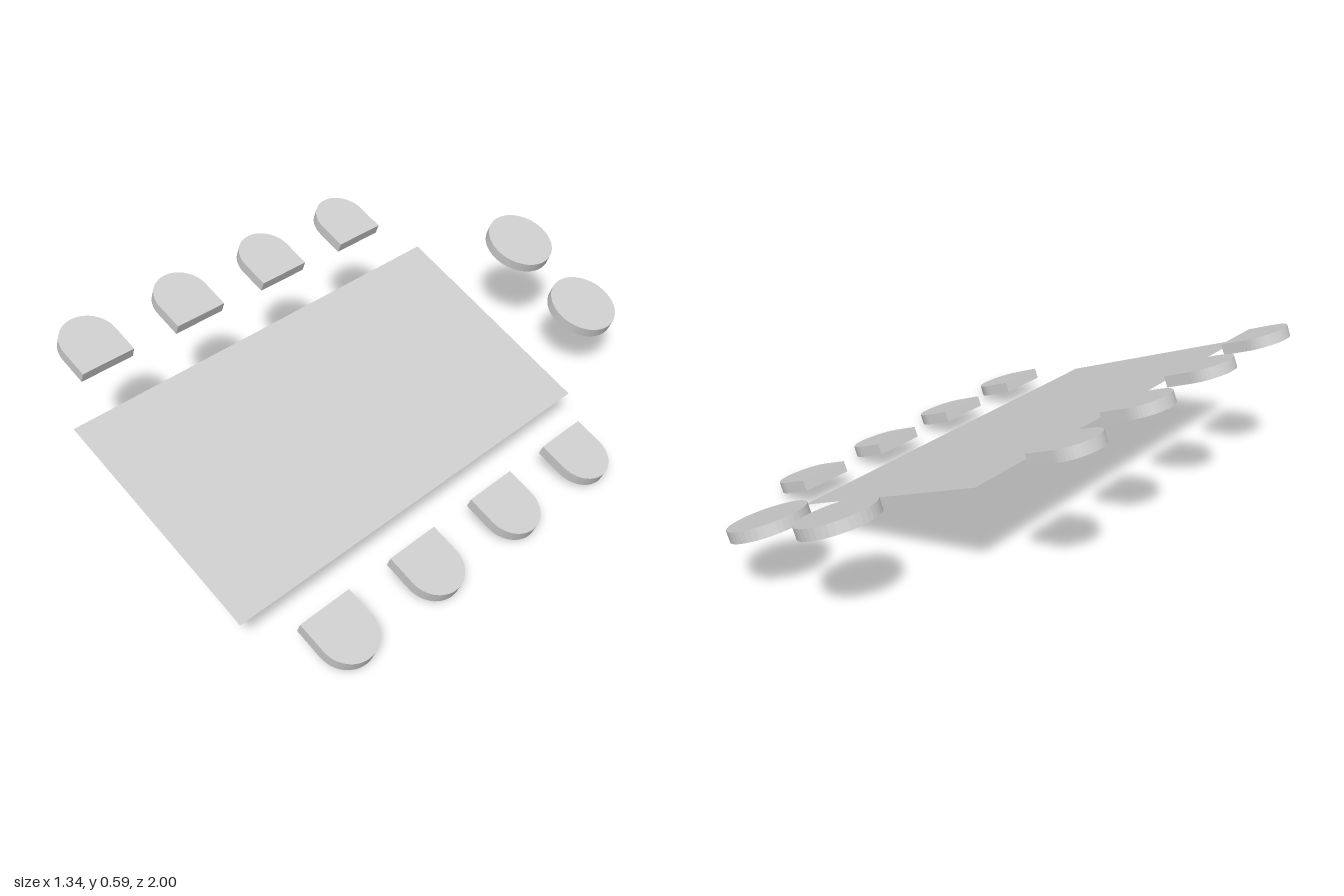
import * as THREE from 'three';
import { mergeGeometries } from 'three/addons/utils/BufferGeometryUtils.js';

const TILT = 0.396; // the whole set leans down towards +x
const material = new THREE.MeshStandardMaterial({
  color: 0xcccccc, flatShading: true, side: THREE.DoubleSide,
});

// Shallow cushion: closed top at y = 0, side wall below it, open underneath
function cushionGeometry(shape, depth, divisions) {
  const top = new THREE.ShapeGeometry(shape, divisions).rotateX(-Math.PI / 2).toNonIndexed();
  top.deleteAttribute('uv');

  const points = shape.getPoints(divisions);
  const corners = [];
  points.forEach((a, i) => {
    const b = points[(i + 1) % points.length];
    if (a.distanceTo(b) < 1e-6) return;
    corners.push(a.x, -depth, -a.y, b.x, -depth, -b.y, b.x, 0, -b.y);
    corners.push(a.x, -depth, -a.y, b.x, 0, -b.y, a.x, 0, -a.y);
  });
  const wall = new THREE.BufferGeometry();
  wall.setAttribute('position', new THREE.Float32BufferAttribute(corners, 3));
  wall.computeVertexNormals();
  return mergeGeometries([top, wall]);
}

export function createModel() {
  const model = new THREE.Group();
  model.name = 'tableSet';
  const set = new THREE.Group();
  set.name = 'tiltedSet';
  set.rotation.z = -TILT;
  model.add(set);

  function add(name, geometry, x, y, z, turn = 0) {
    const mesh = new THREE.Mesh(geometry, material);
    mesh.name = name;
    mesh.position.set(x, y, z);
    mesh.rotation.y = turn;
    set.add(mesh);
  }

  // Thin table top
  add('tableTop', new THREE.PlaneGeometry(0.802, 1.54).rotateX(-Math.PI / 2), -0.1115, 0.2408, 0.23);

  // Seats with a straight inner edge and a round outer end
  const r = 0.098;
  const seatShape = new THREE.Shape();
  seatShape.moveTo(0, -r);
  seatShape.lineTo(0.1, -r);
  seatShape.absarc(0.1, 0, r, -Math.PI / 2, Math.PI / 2);
  seatShape.lineTo(0, r);
  seatShape.closePath();
  const seat = cushionGeometry(seatShape, 0.039, 12);
  for (let i = 0; i < 4; i++) {
    const z = -0.331 + i * 0.372;
    add('leftSeat' + (i + 1), seat, 0.403, 0.2935, z);
    add('rightSeat' + (i + 1), seat, -0.638, 0.2935, z, Math.PI);
  }

  // Two round stools behind the table
  const roundShape = new THREE.Shape();
  roundShape.absarc(0, 0, 0.128, 0, Math.PI * 2);
  const stool = cushionGeometry(roundShape, 0.038, 20);
  add('rightStool', stool, -0.294, 0.3139, -0.872);
  add('leftStool', stool, 0.058, 0.3139, -0.853);

  return model;
}
